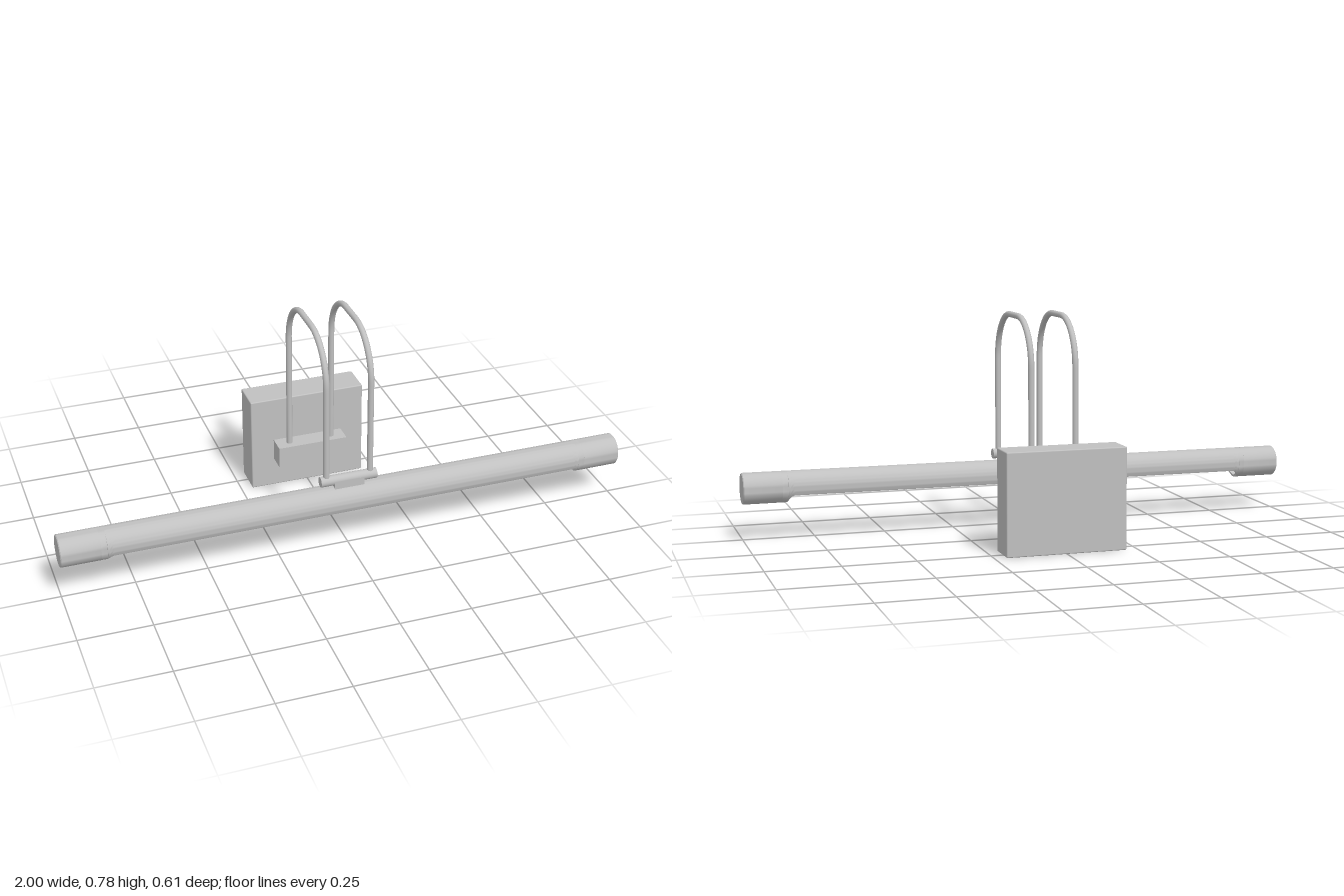
import * as THREE from 'three';
import { toCreasedNormals } from 'three/addons/utils/BufferGeometryUtils.js';
import { RoundedBoxGeometry } from 'three/addons/geometries/RoundedBoxGeometry.js';

const R = 0.055, INNER = 0.048;       // lamp tube radii
const TUBE_Y = 0.18, TUBE_Z = 0.25;   // lamp tube axis

// Trough open at the bottom; the slot closes in a rounded corner at both ends
function shadeGeometry() {
  const stations = [];
  for (let i = 0; i <= 6; i++) {
    const t = (i / 6) * Math.PI / 2;
    stations.push([0.82 + 0.025 * Math.sin(t), 0.025 + 0.03 * (1 - Math.cos(t))]);
  }
  stations.push([0.865, R]);
  const rings = [...stations.map(([x, d]) => [-x, d]).reverse(), ...stations];
  const N = 36, row = 2 * (N + 1), pos = [], idx = [];
  for (const [x, depth] of rings) {
    for (const [r, dir] of [[R, 1], [INNER, -1]]) {
      const cut = Math.acos(Math.min(1, depth / r));
      for (let i = 0; i <= N; i++) {
        const k = dir > 0 ? i / N : 1 - i / N;
        const a = cut + k * 2 * (Math.PI - cut);
        pos.push(x, -r * Math.cos(a), r * Math.sin(a));
      }
    }
  }
  for (let j = 0; j < rings.length - 1; j++) {
    for (let i = 0; i < row; i++) {
      const a = j * row + i, b = j * row + (i + 1) % row;
      idx.push(a, a + row, b + row, a, b + row, b);
    }
  }
  const g = new THREE.BufferGeometry();
  g.setAttribute('position', new THREE.Float32BufferAttribute(pos, 3));
  g.setIndex(idx);
  return toCreasedNormals(g, 0.6);
}

// Solid end plug with a small bevel, pointing along +y
function endGeometry(length) {
  const b = 0.003;
  const profile = [[0, 0], [R, 0], [R, length - b], [R - b, length], [0, length]];
  return toCreasedNormals(new THREE.LatheGeometry(profile.map(p => new THREE.Vector2(...p)), 40), 0.5);
}

// Gooseneck path: up from the lamp, over, and down to the wall bracket
function armCurve(x) {
  const v = (y, z) => new THREE.Vector3(x, y, z);
  const path = new THREE.CurvePath();
  path.add(new THREE.LineCurve3(v(0.26, 0.25), v(0.61, 0.25)));
  path.add(new THREE.CubicBezierCurve3(v(0.61, 0.25), v(0.7, 0.25), v(0.772, 0.181), v(0.772, 0.097)));
  path.add(new THREE.LineCurve3(v(0.772, 0.097), v(0.772, 0.002)));
  path.add(new THREE.CubicBezierCurve3(v(0.772, 0.002), v(0.772, -0.08), v(0.7, -0.148), v(0.61, -0.149)));
  path.add(new THREE.LineCurve3(v(0.61, -0.149), v(0.18, -0.153)));
  return path;
}

export function createModel() {
  const model = new THREE.Group();
  model.name = 'pictureLamp';
  const metal = new THREE.MeshStandardMaterial({ color: 0xc0c0c0 });
  metal.name = 'satin metal';

  function add(name, geometry, x, y, z, parent = model) {
    const mesh = new THREE.Mesh(geometry, metal);
    mesh.name = name;
    mesh.position.set(x, y, z);
    parent.add(mesh);
    return mesh;
  }

  // Lamp tube with its bulb
  const lamp = new THREE.Group();
  lamp.name = 'lampTube';
  lamp.position.set(0, TUBE_Y, TUBE_Z);
  model.add(lamp);
  add('shade', shadeGeometry(), 0, 0, 0, lamp);
  add('bulb', new THREE.CylinderGeometry(0.02, 0.02, 1.73, 20), 0, 0, 0, lamp).rotation.z = Math.PI / 2;
  for (const s of [-1, 1]) {
    add(s > 0 ? 'leftEnd' : 'rightEnd', endGeometry(0.135), s * 0.865, 0, 0, lamp).rotation.z = -s * Math.PI / 2;
  }

  // Swivel joint on top of the tube
  add('swivelBar', new THREE.CylinderGeometry(0.018, 0.018, 0.2, 24), 0, 0.259, TUBE_Z).rotation.z = Math.PI / 2;
  add('swivelSaddle', new THREE.BoxGeometry(0.105, 0.04, 0.036), 0, 0.24, TUBE_Z);

  // Pair of bent arms
  for (const s of [-1, 1]) {
    add(s > 0 ? 'leftArm' : 'rightArm', new THREE.TubeGeometry(armCurve(s * 0.078), 100, 0.0105, 14), 0, 0, 0);
  }

  // Wall box and arm bracket
  add('wallBox', new RoundedBoxGeometry(0.42, 0.352, 0.115, 2, 0.004), 0, 0.176, -0.2445);
  add('armBracket', new THREE.BoxGeometry(0.254, 0.078, 0.07), 0, 0.148, -0.155);
  return model;
}
